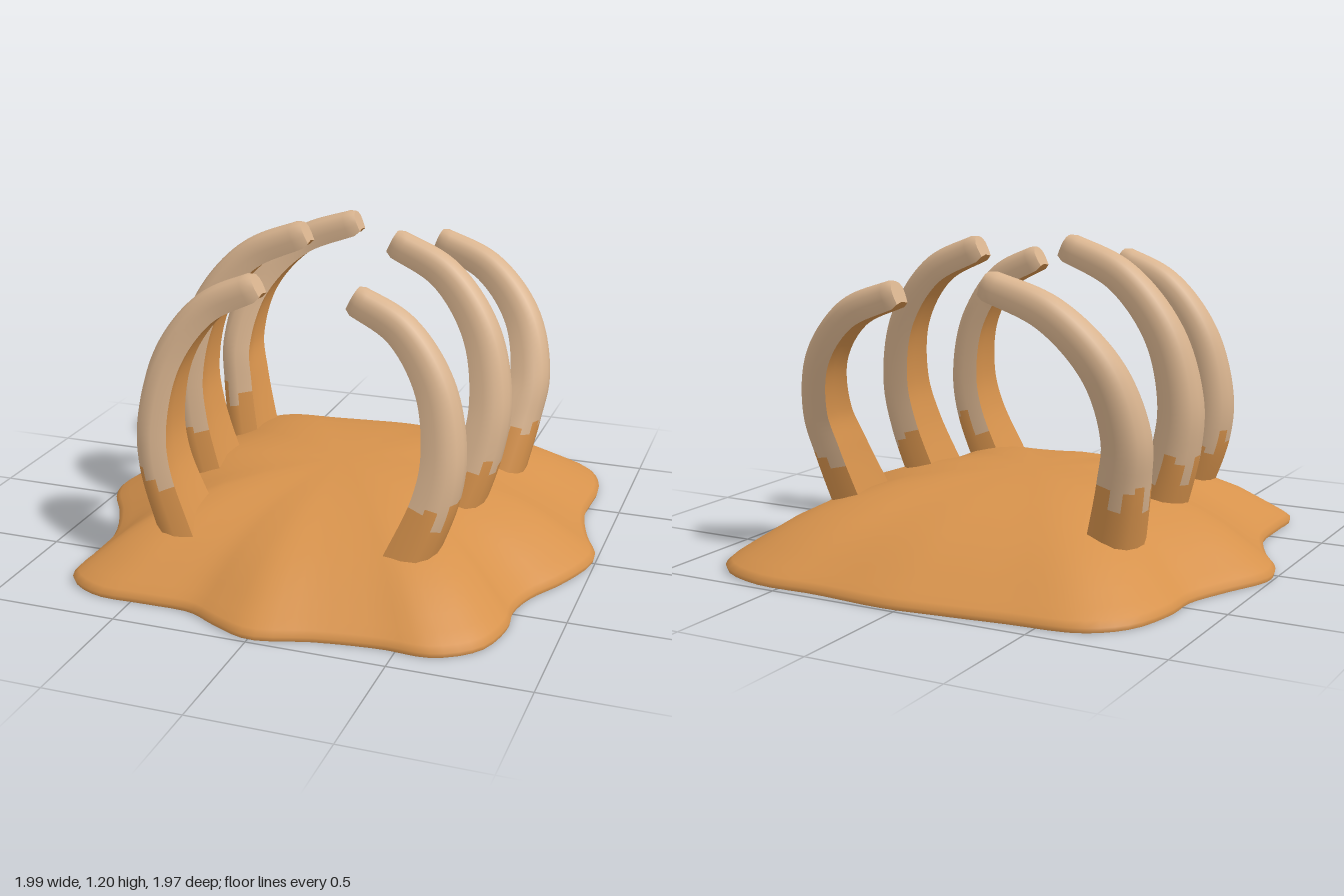
import * as THREE from 'three';

const sand = new THREE.MeshStandardMaterial({ color: 0xd6924c });
sand.name = 'sand';
const bone = new THREE.MeshStandardMaterial({ color: 0xd9b48f });
bone.name = 'bone';

// Skins a list of rings; isSand(y, column) optionally splits the skin into bone and sand faces.
function loft(name, rings, closed, material, isSand) {
  const n = rings[0].length;
  const cols = closed ? n : n - 1;
  const lists = [[], []];
  for (let i = 0; i < rings.length - 1; i++) {
    for (let j = 0; j < cols; j++) {
      const k = (j + 1) % n;
      const a = i * n + j, b = i * n + k, c = a + n, d = b + n;
      const y = (rings[i][j].y + rings[i + 1][k].y) / 2;
      lists[isSand && isSand(y, j) ? 1 : 0].push(a, d, c, a, b, d);
    }
  }
  const geo = new THREE.BufferGeometry().setFromPoints(rings.flat());
  geo.setIndex([...lists[0], ...lists[1]]);
  geo.computeVertexNormals();
  if (isSand) {
    geo.addGroup(0, lists[0].length, 0);
    geo.addGroup(lists[0].length, lists[1].length, 1);
  }
  const mesh = new THREE.Mesh(geo, isSand ? [bone, sand] : material);
  mesh.name = name;
  return mesh;
}

// Wavy low mound with a flat underside
function makeMound() {
  const outline = [
    [0.06, -0.99], [0.35, -0.97], [0.6, -0.97], [0.8, -0.88], [0.88, -0.7], [0.88, -0.4],
    [0.93, -0.2], [0.995, -0.02], [0.93, 0.2], [0.84, 0.37], [0.81, 0.5], [0.82, 0.62],
    [0.77, 0.8], [0.63, 0.9], [0.45, 0.9], [0.22, 0.93], [0, 0.985], [-0.15, 0.93],
    [-0.27, 0.87], [-0.45, 0.865], [-0.65, 0.86], [-0.78, 0.77], [-0.79, 0.6], [-0.8, 0.4],
    [-0.88, 0.2], [-0.97, 0.05], [-0.995, -0.08], [-0.91, -0.28], [-0.845, -0.45],
    [-0.84, -0.6], [-0.78, -0.8], [-0.65, -0.91], [-0.4, -0.94], [-0.15, -0.97],
  ].map(([x, z]) => new THREE.Vector3(x, 0, z));
  const edge = new THREE.CatmullRomCurve3(outline, true).getPoints(120).slice(0, -1);
  const ring = (t, y) => edge.map((p) => new THREE.Vector3(p.x * t, y, p.z * t));
  const profile = [
    [0, 0.295], [0.15, 0.295], [0.3, 0.288], [0.45, 0.27], [0.58, 0.238], [0.7, 0.197],
    [0.8, 0.15], [0.88, 0.1], [0.94, 0.062], [0.98, 0.036], [1, 0.018], [0.995, 0],
  ];
  const mound = new THREE.Group();
  mound.name = 'sandMound';
  mound.add(loft('moundTop', profile.map(([t, y]) => ring(t, y)), true, sand));
  mound.add(loft('moundUnderside', [ring(0.995, 0), ring(0, 0)], true, sand));
  return mound;
}

// Cross-section: x points away from the cage, y runs along the spine
const OUTER = [[-0.5, 0.44], [-0.1, 0.5], [0.2, 0.47], [0.4, 0.33], [0.5, 0.12],
  [0.5, -0.12], [0.4, -0.33], [0.2, -0.47], [-0.1, -0.5], [-0.5, -0.44]];
const INNER = [[-0.5, -0.44], [-0.42, 0], [-0.5, 0.44]];

// Curved tapering rib, rounded outside, with a sand-stained hollow inside
function makeRib({ name, side, base, belly, tip, top, z0, z1 }, seed) {
  const bulge = (u) => tip + (belly - tip) * u;
  const height = (v) => 0.2 + (top - 0.2) * v;
  const path = new THREE.CatmullRomCurve3([
    [base, -0.08], [bulge(0.95), 0.23], [belly, 0.42], [bulge(0.87), 0.68],
    [bulge(0.51), 0.89], [tip, 1],
  ].map(([x, v]) => new THREE.Vector3(x, height(v), z0 + (z1 - z0) * v)));

  const ring = (section, s, scale = 1) => {
    const p = path.getPointAt(s);
    const t = path.getTangentAt(s);
    const len = Math.hypot(t.x, t.y);
    const v = (p.y - 0.2) / (top - 0.2);
    const thick = THREE.MathUtils.lerp(0.165, 0.1, s) * scale;
    const wide = THREE.MathUtils.lerp(0.245, 0.095, v) * scale;
    const pts = section.map(([a, b]) => new THREE.Vector3(
      side * (p.x + (t.y / len) * a * thick), p.y - (t.x / len) * a * thick, p.z + b * wide));
    return side > 0 ? pts : pts.reverse();
  };
  const steps = 48;
  const skin = (section) => {
    const rings = [];
    for (let i = 0; i <= steps; i++) rings.push(ring(section, (i / steps) * 0.98));
    rings.push(ring(section, 1, 0.82));
    return rings;
  };
  // Uneven line where the sand stain ends
  const stained = (y, j) => y < 0.365 + 0.04 * Math.sin(j * 2.1 + seed * 1.7) + 0.02 * Math.cos(j * 4.3 + seed);

  const rib = new THREE.Group();
  rib.name = name;
  rib.add(loft('ribOuter', skin(OUTER), false, bone, stained));
  rib.add(loft('ribInner', skin(INNER), false, sand));
  const loop = [...OUTER, INNER[1]];
  rib.add(loft('ribTip', [ring(loop, 1, 0.82), ring(loop, 1, 0)], true, bone));
  return rib;
}

export function createModel() {
  const model = new THREE.Group();
  model.name = 'ribCage';
  model.add(makeMound());
  [
    { name: 'frontLeftRib', side: 1, base: 0.42, belly: 0.54, tip: 0.18, top: 1.07, z0: 0.5, z1: 0.4 },
    { name: 'frontRightRib', side: -1, base: 0.42, belly: 0.555, tip: 0.18, top: 1.08, z0: 0.52, z1: 0.4 },
    { name: 'middleLeftRib', side: 1, base: 0.47, belly: 0.585, tip: 0.16, top: 1.15, z0: 0.07, z1: -0.11 },
    { name: 'middleRightRib', side: -1, base: 0.5, belly: 0.62, tip: 0.17, top: 1.165, z0: 0.05, z1: -0.065 },
    { name: 'backLeftRib', side: 1, base: 0.54, belly: 0.62, tip: 0.18, top: 1.03, z0: -0.38, z1: -0.66 },
    { name: 'backRightRib', side: -1, base: 0.55, belly: 0.64, tip: 0.16, top: 1.08, z0: -0.42, z1: -0.645 },
  ].forEach((spec, i) => model.add(makeRib(spec, i)));
  return model;
}
